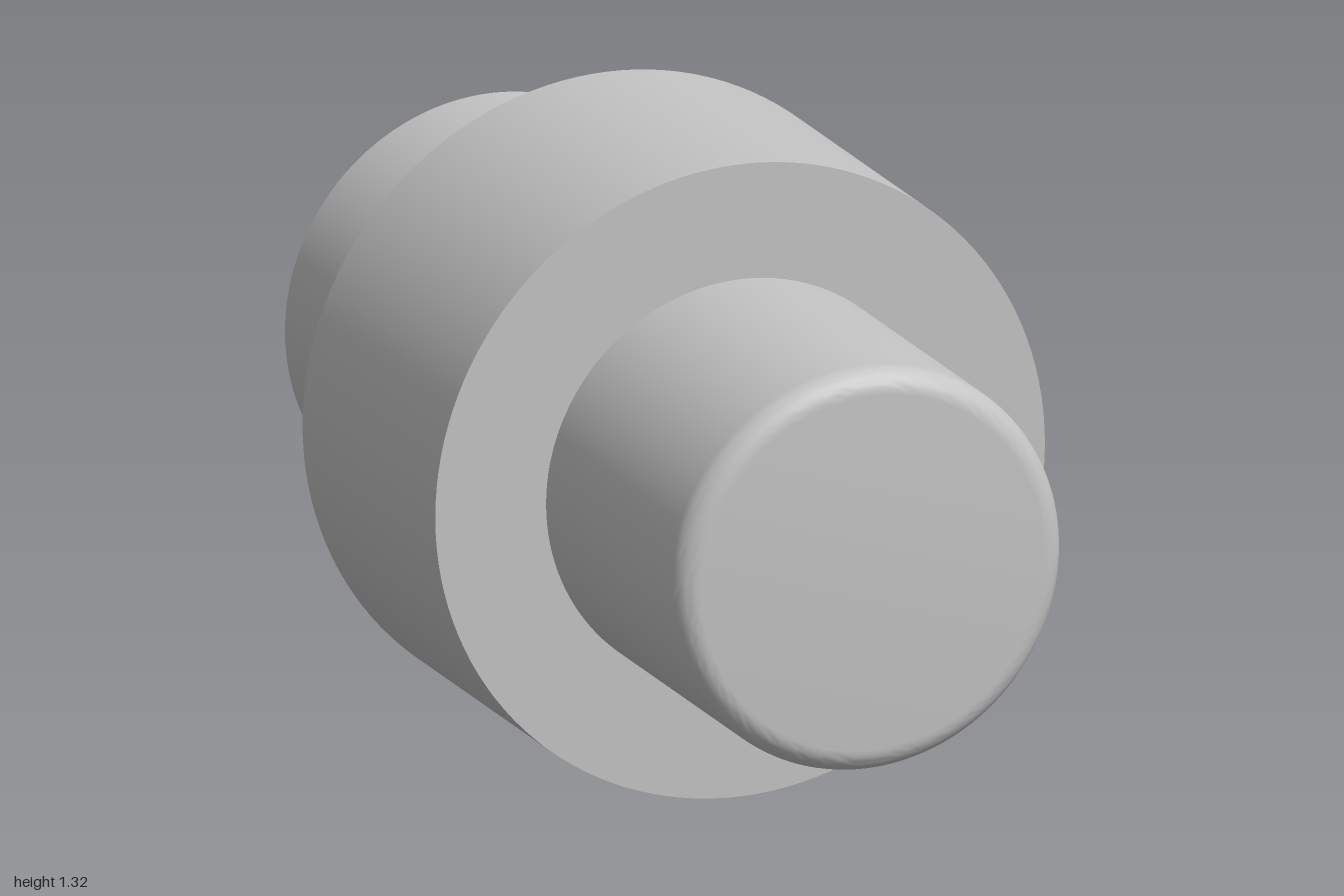
import * as THREE from 'three';
import { toCreasedNormals } from 'three/addons/utils/BufferGeometryUtils.js';

const AXIS_HEIGHT = 0.66;
const SEGMENTS = 128;

export function createModel() {
  const group = new THREE.Group();
  group.name = 'steppedShaft';
  const steel = new THREE.MeshStandardMaterial({ color: 0xc4c4c4 });
  steel.name = 'light grey metal';

  // Turn a [radius, z] profile, listed from back to front, about the z axis
  function addTurned(name, profile) {
    const points = profile.map(([r, z]) => new THREE.Vector2(r, z));
    const lathe = new THREE.LatheGeometry(points, SEGMENTS);
    lathe.rotateX(Math.PI / 2);
    const mesh = new THREE.Mesh(toCreasedNormals(lathe, Math.PI / 6), steel);
    mesh.name = name;
    mesh.position.y = AXIS_HEIGHT;
    group.add(mesh);
  }

  // Wide central collar, with shoulders that meet the two journals
  const collarBack = -0.37, collarFront = 0.315;
  const backR = 0.445, frontR = 0.42;
  addTurned('collar', [[backR, collarBack], [0.66, collarBack], [0.66, collarFront], [frontR, collarFront]]);

  // Rear journal with a chamfered end
  const chamfer = 0.027;
  addTurned('rearJournal', [[0, -1], [backR - chamfer, -1], [backR, -1 + chamfer], [backR, collarBack]]);

  // Front journal with a rounded end
  const fillet = 0.05;
  const front = [[frontR, collarFront]];
  for (let i = 0; i <= 10; i++) {
    const a = (i / 10) * Math.PI / 2;
    front.push([frontR - fillet + fillet * Math.cos(a), 1 - fillet + fillet * Math.sin(a)]);
  }
  front.push([0, 1]);
  addTurned('frontJournal', front);

  return group;
}
